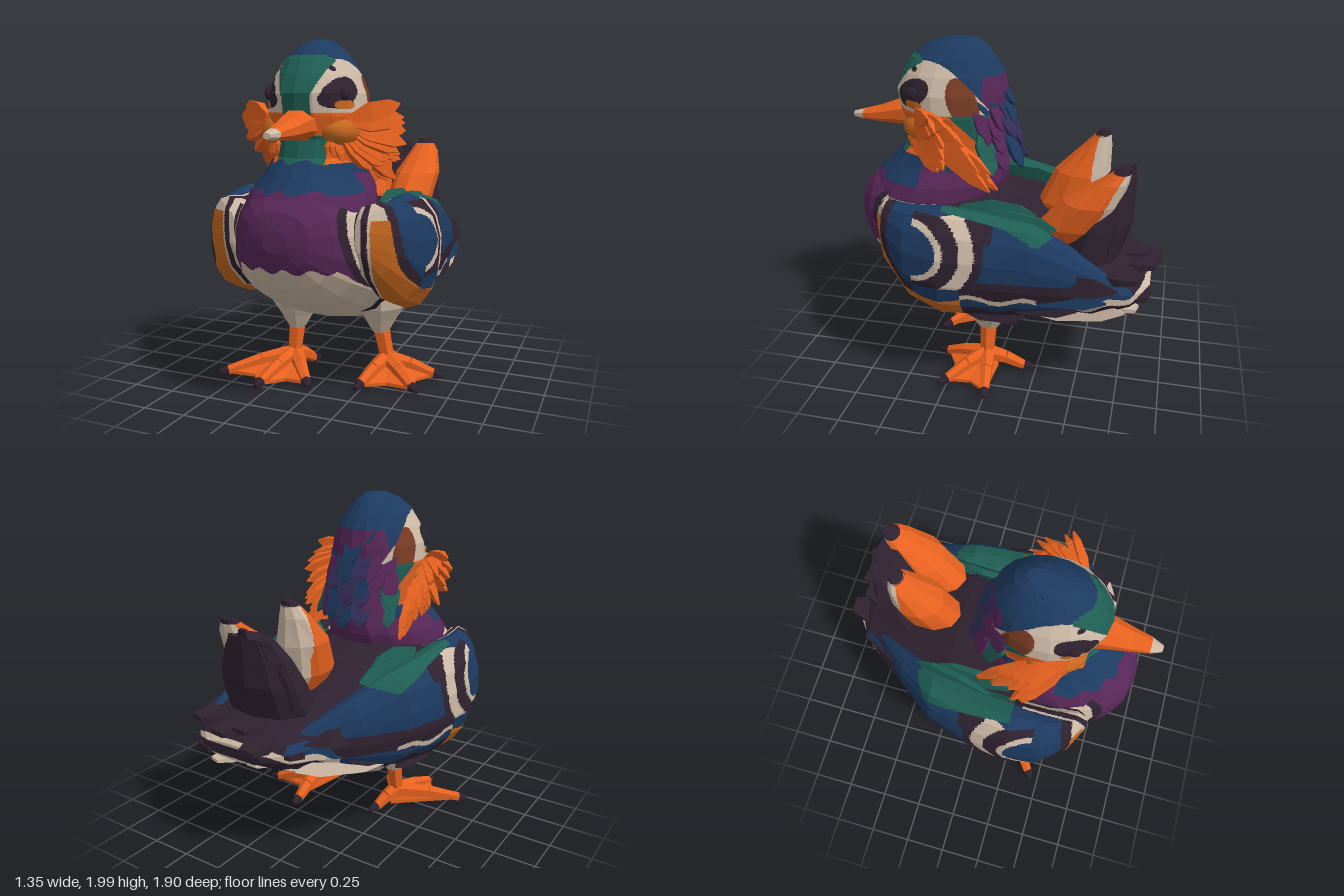
import * as THREE from 'three';
import { mergeGeometries } from 'three/addons/utils/BufferGeometryUtils.js';

const palette = {
  navy: 0x1d3a60, teal: 0x1f5f55, purple: 0x572757, plum: 0x2f2230, cream: 0xcdb9a5,
  orange: 0xe6611f, amber: 0xc8681f, brown: 0x7a3c24, indigo: 0x352f5a,
};
const V = (x, y, z) => new THREE.Vector3(x, y, z);
const bend = z => (z < 0 ? Math.min(0.19, 0.42 * z * z) : 0); // rear swings towards the left
const inEllipse = (u, v, cu, cv, ru, rv) => Math.hypot((u - cu) / ru, (v - cv) / rv) < 1;

let seed = 7;
const jitter = k => { seed = (seed * 16807) % 2147483647; return (seed / 2147483647 - 0.5) * 2 * k; };

// Ring of n points; power below 1 makes it boxier
function ring(c, a, b, n, power = 1) {
  const f = v => Math.sign(v) * Math.abs(v) ** power;
  return Array.from({ length: n }, (_, i) => {
    const t = ((i + 0.5) / n) * Math.PI * 2;
    return c.clone().addScaledVector(a, f(Math.cos(t))).addScaledVector(b, f(Math.sin(t)));
  });
}

// Closed, flat-faced skin over rings, wound outwards
function loft(rings) {
  const tris = [], n = rings[0].length;
  const mid = r => r.reduce((s, p) => s.add(p), V(0, 0, 0)).divideScalar(n);
  const first = mid(rings[0]), last = mid(rings.at(-1));
  for (let j = 0; j < n; j++) {
    const k = (j + 1) % n;
    for (let i = 0; i + 1 < rings.length; i++) {
      const [p, q] = [rings[i], rings[i + 1]];
      tris.push([p[j], p[k], q[k]], [p[j], q[k], q[j]]);
    }
    tris.push([first, rings[0][k], rings[0][j]], [last, rings.at(-1)[j], rings.at(-1)[k]]);
  }
  let volume = 0;
  for (const [a, b, c] of tris) volume += a.clone().sub(first).dot(b.clone().sub(first).cross(c.clone().sub(first)));
  if (volume < 0) tris.forEach(t => t.reverse());
  return fromPoints(tris.flat());
}
function fromPoints(points) {
  const g = new THREE.BufferGeometry().setFromPoints(points);
  g.computeVertexNormals();
  return g;
}

// Splits faces along colour borders and sorts them into material groups
function paint(geo, rule, mats, depth = 4) {
  const pos = geo.attributes.position, buckets = {};
  const split = (a, b, c, level) => {
    const key = rule(a.clone().add(b).add(c).divideScalar(3));
    if (level === 0 || (level < depth - 1 && [a, b, c].every(p => rule(p) === key))) {
      (buckets[key] ??= []).push(a, b, c);
      return;
    }
    const ab = a.clone().lerp(b, 0.5), bc = b.clone().lerp(c, 0.5), ca = c.clone().lerp(a, 0.5);
    [[a, ab, ca], [ab, b, bc], [ca, bc, c], [ab, bc, ca]].forEach(t => split(...t, level - 1));
  };
  for (let i = 0; i < pos.count; i += 3) split(...[0, 1, 2].map(k => V(0, 0, 0).fromBufferAttribute(pos, i + k)), depth);
  const keys = Object.keys(buckets), out = fromPoints(keys.flatMap(k => buckets[k]));
  let start = 0;
  keys.forEach((k, i) => { out.addGroup(start, buckets[k].length, i); start += buckets[k].length; });
  return new THREE.Mesh(out, keys.map(k => mats[k]));
}

// Leaf-shaped feather from root to tip
function feather(root, tip, width, up, thick = 0.015, blunt = 0.06) {
  const dir = tip.clone().sub(root);
  const side = dir.clone().cross(up).normalize(), n = side.clone().cross(dir).normalize();
  return loft([[0, 0.4], [0.4, 1], [0.8, Math.max(0.72, blunt + 0.38)], [1, blunt]].map(([t, s]) => ring(
    root.clone().addScaledVector(dir, t), side.clone().multiplyScalar(s * width * 0.7), n.clone().multiplyScalar(thick * Math.max(s, 0.2)), 4)));
}
const tube = (a, b, r0, r1, n = 6) => {
  const d = b.clone().sub(a), s = d.clone().cross(Math.abs(d.y) > 0.15 ? V(1, 0, 0) : V(0, 1, 0)).normalize(), u = s.clone().cross(d).normalize();
  return loft([[a, r0], [b, r1]].map(([p, r]) => ring(p, s.clone().multiplyScalar(r), u.clone().multiplyScalar(r), n)));
};

// Colour rules
function bodyColour({ x, y, z }) {
  const a = Math.abs(x - bend(z)), edge = 0.015 * Math.sin(x * 45);
  if (z > 0.3) {
    if (y < 0.8 + edge - Math.max(0, a - 0.28) * 1.3) return 'cream';
    const stripe = a - 0.27 - Math.max(0, 1.1 - y) * 0.2;
    if (stripe > 0 && y < 1.17) return Math.floor(stripe / 0.032) % 2 ? 'cream' : 'plum';
    return y > 1.18 && z > 0.5 ? 'navy' : 'purple';
  }
  const s = y - (z > -0.2 ? 0.47 : 0.47 - (z + 0.2) * 0.27) + 0.015 * Math.sin(z * 30);
  if (s < 0 || (s > 0.06 && s < 0.1 && z < 0.1)) return 'cream';
  return s > 0.1 && s < 0.17 && a > 0.3 ? 'navy' : 'plum';
}
function wingColour({ x, y, z }) {
  const a = Math.abs(x - bend(z)), d = Math.hypot((z - 0.25) / 0.37, (y - 1) / 0.37);
  if (z < 0.25 && y > 1 + 0.02 * Math.sin(z * 30) && a < 0.54) return 'teal';
  if (a < 0.43 && z > 0.3) return Math.floor(a / 0.032) % 2 ? 'cream' : 'plum';
  if (z > 0.12 && y < 1.06 && d > 0.98) return d > 1.36 ? 'plum' : 'amber';
  if (z > 0.2 && y > 1.06 && d > 0.9) return d > 1.12 ? 'plum' : d > 1 ? 'cream' : 'plum';
  if (z > 0.4 && d > 0.86) return 'plum';
  const e = Math.hypot(z - 0.42, (y - 0.93) * 1.2);
  if (z < 0.4 && Math.abs(y - 0.93) < 0.2 && e > 0.17 && e < 0.43) return e < 0.21 || (e > 0.3 && e < 0.38) ? 'cream' : 'plum';
  if (y < 0.58 + 0.02 * Math.sin(z * 25)) return 'plum';
  if (z < 0.12 && y < 0.78) {
    if (Math.abs(y - 0.66 - 0.02 * Math.sin(z * 20)) < 0.016 && z > -0.3) return 'cream';
    return y > 0.66 ? 'plum' : 'navy';
  }
  return z < 0.12 && z > -0.05 && y > 1 ? 'plum' : 'navy';
}
function headColour({ x, y, z }) {
  const a = Math.abs(x), edge = 0.012 * Math.sin(x * 40 + z * 20);
  if (y < (z > 0.45 ? 1.19 : 1.28) + edge) return 'purple';
  if (y < 1.34 + edge) return 'navy';
  if (z > 0.45 && a < 0.08 + 0.4 * Math.max(0, y - 1.68) && y < 1.89) return 'teal';
  if (z > 0.4 && a < 0.14 && y < 1.48) return 'teal';
  const crown = 1.88 - 2 * Math.max(0, 0.42 - z) ** 2;
  if (y > crown) return z > 0.47 && y < 1.9 ? 'teal' : z < 0.1 && y < 1.8 ? 'purple' : 'navy';
  if (y < 1.6 && z < 0.27 - (1.6 - y) * 0.9) return z < 0.05 ? 'indigo' : y > 1.4 ? 'teal' : 'navy';
  if (inEllipse(z, y, 0.49, 1.64, 0.06, 0.025)) return 'amber';
  if (inEllipse(z, y + (z - 0.48) * 0.3, 0.5, 1.71, 0.11, 0.075) || inEllipse(z, y, 0.5, 1.83, 0.02, 0.015)) return 'plum';
  if (inEllipse(z, y - (z - 0.18) * 0.6, 0.2, 1.66, 0.09, 0.12)) return 'brown';
  return y < 1.6 ? 'orange' : z < 0.03 ? 'purple' : 'cream';
}

export function createModel() {
  const group = new THREE.Group(), mats = {};
  for (const [name, color] of Object.entries(palette)) {
    mats[name] = new THREE.MeshStandardMaterial({ color });
    mats[name].name = name;
  }
  const add = (name, mesh) => { mesh.name = name; group.add(mesh); return mesh; };
  const solid = (name, geos, colour) => add(name, new THREE.Mesh(mergeGeometries([geos].flat()), mats[colour]));

  // Body: z, bottom, top, half width
  const body = [[0.89, 0.9, 1.02, 0.07], [0.86, 0.8, 1.11, 0.18], [0.78, 0.69, 1.18, 0.28], [0.65, 0.58, 1.22, 0.37],
    [0.45, 0.47, 1.22, 0.43], [0.2, 0.38, 1.18, 0.45], [0, 0.34, 1.12, 0.48], [-0.2, 0.36, 1.08, 0.5],
    [-0.4, 0.42, 1, 0.47], [-0.6, 0.5, 0.92, 0.42], [-0.8, 0.6, 0.82, 0.33], [-0.9, 0.66, 0.75, 0.2]];
  add('body', paint(loft(body.map(([z, b, t, w]) =>
    ring(V(bend(z), (b + t) / 2, z), V(w, 0, 0), V(0, (t - b) / 2, 0), 18, 0.85))), bodyColour, mats));

  // Neck and head: y, z centre, half width, half depth
  const head = [[1, 0.45, 0.36, 0.42], [1.1, 0.43, 0.36, 0.41], [1.18, 0.39, 0.34, 0.4], [1.27, 0.34, 0.28, 0.36], [1.36, 0.3, 0.25, 0.31],
    [1.46, 0.29, 0.26, 0.3], [1.58, 0.31, 0.28, 0.32], [1.7, 0.32, 0.27, 0.33], [1.8, 0.31, 0.23, 0.3],
    [1.88, 0.31, 0.18, 0.25], [1.95, 0.29, 0.11, 0.18], [1.99, 0.26, 0.05, 0.09]];
  add('head', paint(loft(head.map(([y, z, rx, rz]) => ring(V(0, y, z), V(rx, 0, 0), V(0, 0, rz), 18))), headColour, mats));

  // Beak with a pale tip
  const beak = [[0.55, 1.54, 0.12, 0.1], [0.64, 1.535, 0.1, 0.08], [0.78, 1.51, 0.07, 0.05], [0.88, 1.5, 0.05, 0.032], [0.95, 1.495, 0.02, 0.018]];
  add('beak', paint(loft(beak.map(([z, y, rx, ry]) => ring(V(0, y, z), V(rx, 0, 0), V(0, ry, 0), 8))),
    p => (p.z > 0.885 ? 'cream' : 'orange'), mats));

  // Crest feathers from the crown down the nape
  const crest = { navy: [], purple: [], indigo: [], teal: [] };
  for (let r = 0; r < 7; r++) for (let j = -3; j <= 3; j++) {
    const phi = j * (r < 2 ? 0.4 : 0.28) + jitter(0.08), y = 1.97 - 0.09 * r, k = 0.12 + 0.22 * Math.sqrt(r / 6);
    const at = (h, m) => V(Math.sin(phi) * m * 0.8, h, 0.29 - Math.cos(phi) * m);
    const colour = r < 3 ? 'navy' : Math.abs(j) < 2 ? (r + j) % 3 ? 'indigo' : 'navy' : r > 4 && Math.abs(j) > 2 ? 'teal' : 'purple';
    crest[colour].push(feather(at(y, k - 0.02), at(y - 0.2 + jitter(0.05), k + 0.07 + jitter(0.02)), 0.12, at(y, 1).sub(V(0, y, 0.29)), 0.02));
  }
  for (const [c, list] of Object.entries(crest)) solid(`${c} crest`, list, c);

  const ruffTips = new THREE.CatmullRomCurve3([V(0.45, 1.63, 0.33), V(0.48, 1.52, 0.28), V(0.44, 1.38, 0.26),
    V(0.35, 1.28, 0.3), V(0.25, 1.28, 0.38), V(0.16, 1.36, 0.5)]);
  const backTips = new THREE.CatmullRomCurve3([V(0.43, 1.57, 0.22), V(0.43, 1.46, 0.13), V(0.38, 1.33, 0.05),
    V(0.33, 1.23, 0), V(0.28, 1.2, 0.08), V(0.27, 1.24, 0.25)]);
  const wing = [[0.68, 0.38, 0.98, 0.03, 0.09], [0.61, 0.42, 0.94, 0.12, 0.2], [0.45, 0.48, 0.86, 0.17, 0.28], [0.25, 0.5, 0.83, 0.18, 0.33],
    [0, 0.47, 0.81, 0.17, 0.31], [-0.25, 0.44, 0.8, 0.15, 0.28], [-0.48, 0.38, 0.77, 0.11, 0.19], [-0.7, 0.31, 0.74, 0.04, 0.08]];
  const feet = {
    left: { hip: V(0.28, 0.31, 0.05), ankle: V(0.32, 0.13, 0.05), toes: [V(0.6, 0.035, 0), V(0.54, 0.035, 0.25), V(0.25, 0.035, 0.32)], heel: V(0.3, 0.035, -0.18) },
    right: { hip: V(-0.23, 0.31, 0.15), ankle: V(-0.24, 0.13, 0.17), toes: [V(-0.57, 0.035, 0.42), V(-0.3, 0.035, 0.51), V(-0.06, 0.035, 0.4)], heel: V(-0.18, 0.035, 0.02) },
  };

  for (const [side, s] of [['left', 1], ['right', -1]]) {
    const m = p => V(p.x * s, p.y, p.z);

    // Eye
    const eye = solid(`${side} eye`, new THREE.IcosahedronGeometry(0.04, 1), 'plum');
    eye.position.set(s * 0.222, 1.7, 0.49);
    eye.scale.x = 0.6;

    // Cheek and two layers of ruff feathers
    const cheek = solid(`${side} cheek`, new THREE.IcosahedronGeometry(1, 1), 'amber');
    cheek.position.set(s * 0.2, 1.5, 0.42);
    cheek.rotation.y = s * -0.45;
    cheek.scale.set(0.1, 0.085, 0.17);
    const ruff = [];
    for (let i = 0; i < 16; i++) {
      const t = i / 15, root = V(0.25 - 0.09 * t, 1.57 - 0.1 * t, 0.47 + 0.03 * t);
      for (const curve of [ruffTips, backTips]) {
        const tip = curve.getPoint(t).add(V(jitter(0.025), jitter(0.03), jitter(0.035)));
        ruff.push(feather(m(root), m(tip), 0.11, m(V(0.9, 0.2, 0.5)), 0.035));
      }
    }
    solid(`${side} ruff`, ruff, 'orange');

    // Folded wing and its trailing feathers
    add(`${side} wing`, paint(loft(wing.map(([z, x, y, rx, ry]) =>
      ring(V(s * x + bend(z), y, z), V(rx, 0, 0), V(0, ry, 0), 14, 0.95))), wingColour, mats));
    const quills = { navy: [], plum: [], cream: [], teal: [] };
    [['teal', 1.06, 0.4, 0.1, 0.36, -0.38, 1.04], ['teal', 1.07, 0.33, 0.2, 0.32, -0.25, 1.08], ['navy', 0.9, 0.54, -0.05, 0.42, -0.55, 0.86],
      ['plum', 0.8, 0.55, -0.1, 0.38, -0.74, 0.78], ['navy', 0.72, 0.54, -0.1, 0.38, -0.68, 0.7], ['plum', 0.64, 0.52, 0, 0.44, -0.52, 0.62],
      ['cream', 0.57, 0.46, -0.15, 0.34, -0.78, 0.63], ['plum', 0.56, 0.5, 0.2, 0.47, -0.22, 0.5]].forEach(([c, y, x, z0, x1, z1, y1]) =>
      quills[c].push(feather(V(s * x + bend(z0), y, z0), V(s * x1 + bend(z1), y1, z1), 0.14, V(s, 0.25, 0), 0.03)));
    for (const [c, list] of Object.entries(quills)) solid(`${side} ${c} wing feathers`, list, c);

    // Upright sail feather with a pale rear rim
    const tipY = s > 0 ? 1.4 : 1.51, lean = s > 0 ? 0.15 : 0;
    const sail = [[0, -0.4, 0.08, 0.1, 0.08], [0.3, -0.4, 0.13, 0.19, 0.14], [0.6, -0.46, 0.15, 0.16, 0.14], [0.85, -0.54, 0.16, 0.08, 0.09], [1, -0.58, 0.15, 0.03, 0.04]];
    const spine = y => { const t = (y - 0.88) / (tipY - 0.88); return -0.38 - 0.19 * t * t - lean * t; };
    add(`${side} sail`, paint(loft(sail.map(([t, z, x, hz, hx]) =>
      ring(V(0.17 + s * x, 0.88 + t * (tipY - 0.88), z - lean * t), V(hx, 0, 0), V(0, 0, hz), 10))), p =>
      p.y > tipY - 0.03 ? 'plum' : p.z < spine(p.y) - 0.11 + 0.1 * Math.max(0, p.y - 1.15) / 0.3 ? 'cream' : 'orange', mats, 3));

    // Leg, webbed foot and claws
    const { hip, ankle, toes, heel } = feet[side];
    solid(`${side} thigh`, loft([[0.55, 0.17], [0.45, 0.15], [0.37, 0.1], [0.28, 0.05]].map(([y, r]) =>
      ring(V(hip.x, y, hip.z), V(r, 0, 0), V(0, 0, r * 1.2), 8))), 'cream');
    const claws = [], toeTubes = [tube(hip, ankle, 0.055, 0.045)];
    for (const toe of [...toes, heel]) {
      const knuckle = ankle.clone().lerp(toe, 0.5).setY(0.085);
      toeTubes.push(tube(ankle.clone().setY(0.11), knuckle, 0.055, 0.042), tube(knuckle, toe, 0.042, 0.03));
      claws.push(tube(toe, toe.clone().add(toe.clone().sub(ankle).setY(0).setLength(0.055)).setY(0.025), 0.034, 0.014));
    }
    solid(`${side} leg and toes`, toeTubes, 'orange');
    solid(`${side} claws`, claws, 'plum');
    const dip = (p, q) => p.clone().lerp(q, 0.5).lerp(ankle, 0.18);
    const web = [ankle.clone().lerp(heel, 0.3), toes[0], dip(toes[0], toes[1]), toes[1], dip(toes[1], toes[2]), toes[2]];
    solid(`${side} web`, loft([[0, 0.015], [0, 0.035], [0.75, 0.1]].map(([k, y]) => web.map(p => p.clone().lerp(ankle, k).setY(y)))), 'orange');
  }

  // Dark rump rising behind the sails, topped with pointed feathers
  const rump = [loft([[0.74, -0.5, 0.32, 0.2], [0.9, -0.56, 0.3, 0.18], [1.05, -0.61, 0.27, 0.17], [1.2, -0.66, 0.22, 0.12], [1.32, -0.71, 0.15, 0.07]].map(([y, z, rx, rz]) =>
    ring(V(0.18, y, z), V(rx, 0, 0), V(0, 0, rz), 10)))];
  for (let i = -2; i <= 2; i++) rump.push(feather(V(0.18 + i * 0.07, 0.8, -0.62), V(0.18 + i * 0.09, 1.37 - 0.05 * i * i, -0.77 + 0.015 * i * i), 0.17, V(i * 0.15, 0.3, -1), 0.05, 0.25));
  solid('rump feathers', rump, 'plum');

  // Broad tail blades with pale undersides
  const tail = [], under = [];
  for (const [x, z, y] of [[0.04, -0.95, 0.76], [0.26, -0.93, 0.81], [0.48, -0.85, 0.82], [-0.1, -0.82, 0.72], [0.15, -0.88, 0.83], [0.4, -0.9, 0.68]]) {
    tail.push(feather(V(0.12 + (x - 0.17) * 0.7, y - 0.02, -0.4), V(x, y, z), 0.2, V(0, 1, 0), 0.035, 0.5));
    under.push(feather(V(0.12 + (x - 0.17) * 0.6, 0.55, -0.4), V(x * 0.9 + 0.02, y - 0.1, z + 0.06), 0.16, V(0, 1, 0), 0.03, 0.4));
  }
  solid('tail blades', tail, 'plum');
  solid('under tail', under, 'cream');
  return group;
}
